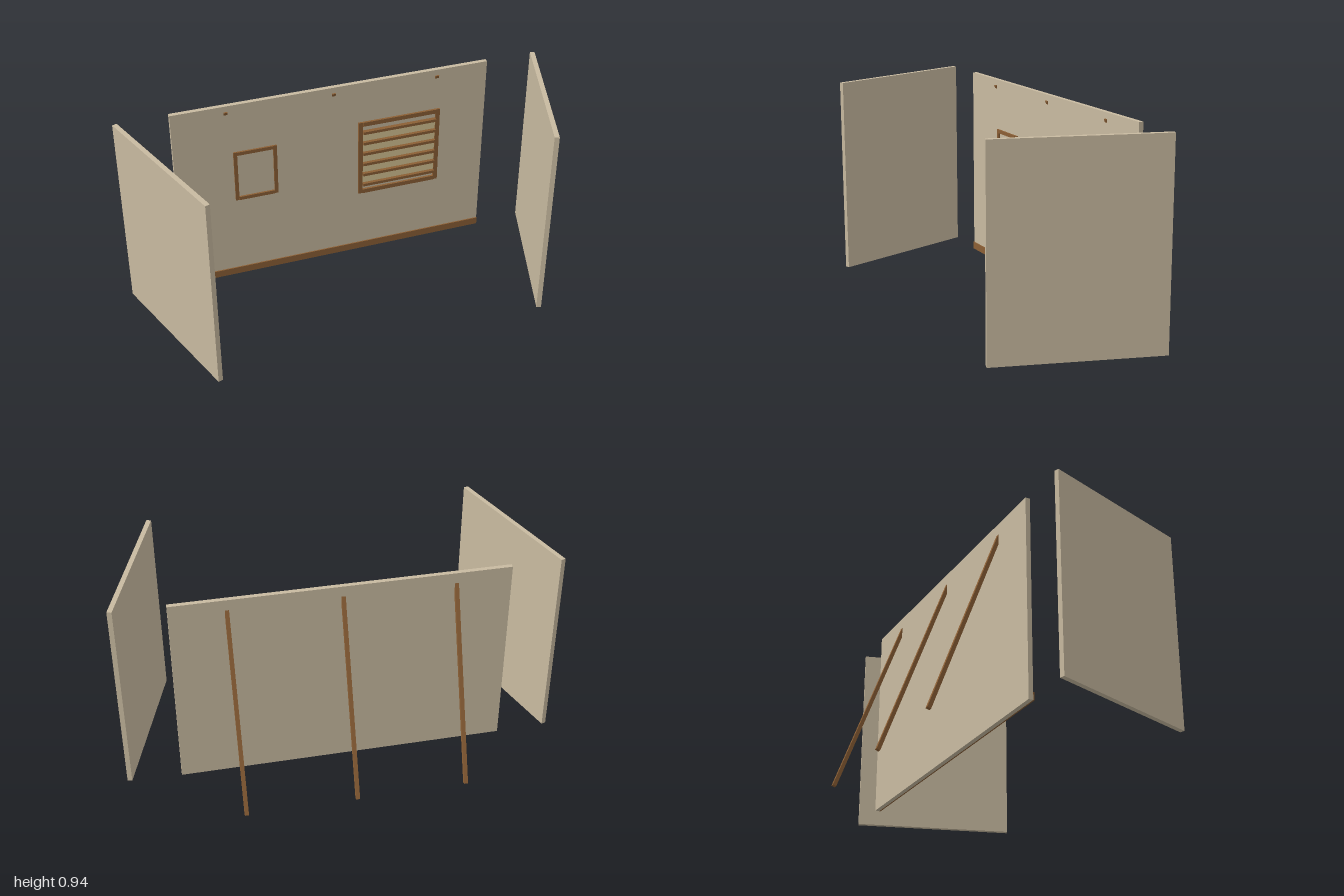
import * as THREE from 'three';

const mat = (name, color) => {
  const m = new THREE.MeshStandardMaterial({ color });
  m.name = name;
  return m;
};

export function createModel() {
  const root = new THREE.Group();
  root.name = 'stageSet';
  const plaster = mat('beige plaster', 0xc8baa0);
  const wood = mat('brown wood', 0x8b5f35);
  const cream = mat('pale yellow pane', 0xd6c594);

  // Box given by its two opposite corners
  const box = (name, material, x0, x1, y0, y1, z0, z1, parent = root) => {
    const mesh = new THREE.Mesh(new THREE.BoxGeometry(x1 - x0, y1 - y0, z1 - z0), material);
    mesh.position.set((x0 + x1) / 2, (y0 + y1) / 2, (z0 + z1) / 2);
    mesh.name = name;
    parent.add(mesh);
    return mesh;
  };

  // Rectangular frame of four bars on the wall face
  const wallFace = -0.183;
  const frame = (name, x0, x1, y0, y1, w, front) => {
    const g = new THREE.Group();
    g.name = name;
    root.add(g);
    for (const x of [x0, x1 - w]) box('frameSide', wood, x, x + w, y0, y1, wallFace, front, g);
    for (const y of [y0, y1 - w]) box('frameRail', wood, x0 + w, x1 - w, y, y + w, wallFace, front + 0.002, g);
    return g;
  };

  // Back wall and skirting board
  box('backWall', plaster, -0.753, 0.753, 0.015, 0.942, -0.204, wallFace);
  box('skirtingBoard', wood, -0.753, 0.753, 0.015, 0.05, wallFace, -0.177);

  // Free-standing side walls, converging towards the front
  for (const s of [-1, 1]) {
    const wall = box(s > 0 ? 'leftWall' : 'rightWall', plaster, -0.011, 0.011, 0.015, 0.942, -0.3765, 0.3765);
    wall.position.x = s * 0.874;
    wall.position.z = 0.165;
    wall.rotation.y = -s * 0.312;
  }

  // Small window frame
  frame('windowFrame', -0.48, -0.276, 0.438, 0.698, 0.017, -0.176);

  // Shuttered window with six slats
  const shutter = frame('shutterFrame', 0.118, 0.522, 0.342, 0.735, 0.021, -0.174);
  box('shutterPane', cream, 0.139, 0.501, 0.393, 0.682, wallFace, -0.179, shutter);
  for (let i = 0; i < 6; i++) {
    const y = 0.393 + i * 0.0576;
    box('shutterSlat', wood, 0.139, 0.501, y - 0.007, y + 0.007, wallFace, -0.163, shutter);
  }

  // Leaning braces whose tips pass through the wall
  for (const x of [-0.503, 0, 0.503]) {
    const brace = box('brace', wood, -0.009, 0.009, -0.483, 0.483, -0.0088, 0.0088);
    brace.position.set(x, 0.461, -0.352);
    brace.rotation.x = Math.atan2(0.332, 0.9075);
  }
  return root;
}
